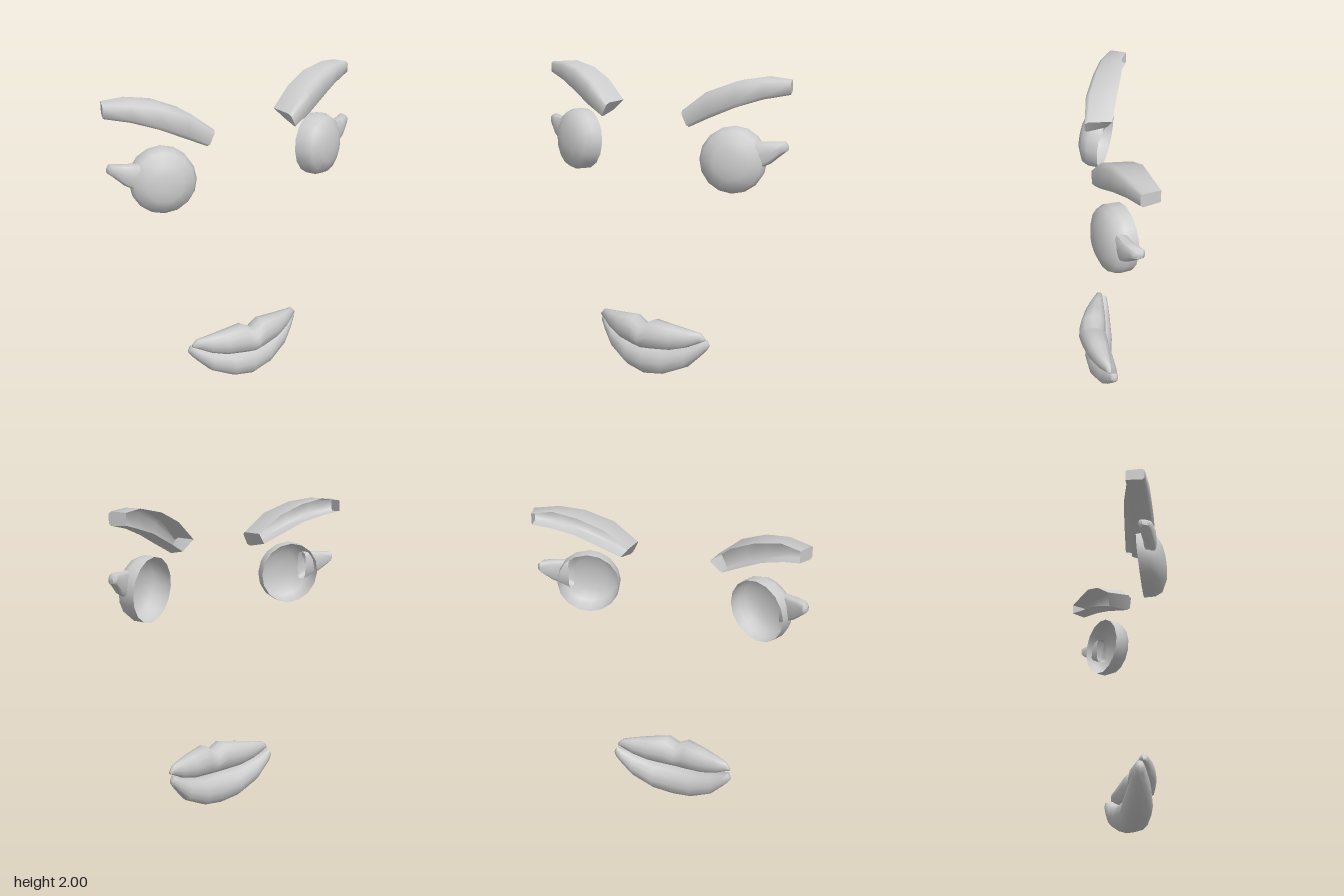
import * as THREE from 'three';
import { toCreasedNormals } from 'three/addons/utils/BufferGeometryUtils.js';

const material = new THREE.MeshStandardMaterial({ color: 0xcccccc, side: THREE.DoubleSide });

// Skin over a row of cross-sections running along +x
function loft(sections, { closed = true, capStart = true, capEnd = true } = {}) {
  const n = sections[0].length;
  const points = sections.flat();
  const index = [];
  for (let i = 0; i < sections.length - 1; i++) {
    for (let j = 0; j < (closed ? n : n - 1); j++) {
      const a = i * n + j, b = i * n + (j + 1) % n;
      index.push(a, b, a + n, b, b + n, a + n);
    }
  }
  const cap = (row, start) => {
    const middle = new THREE.Vector3();
    sections[row].forEach((p) => middle.addScaledVector(p, 1 / n));
    const c = points.push(middle) - 1;
    for (let j = 0; j < n; j++) {
      const a = row * n + j, b = row * n + (j + 1) % n;
      index.push(c, start ? b : a, start ? a : b);
    }
  };
  if (capStart) cap(0, true);
  if (capEnd) cap(sections.length - 1, false);
  const geometry = new THREE.BufferGeometry().setFromPoints(points);
  geometry.setIndex(index);
  geometry.computeVertexNormals();
  return geometry;
}

// Rounded cross-section at x; a lower power gives squarer corners
function ring([x, top, bottom, front, back], power = 0.85) {
  const bend = (v) => Math.sign(v) * Math.pow(Math.abs(v), power);
  return Array.from({ length: 12 }, (_, k) => {
    const angle = (k / 12) * Math.PI * 2;
    const c = k % 6 === 3 ? 0 : Math.cos(angle), s = k % 6 === 0 ? 0 : Math.sin(angle);
    return new THREE.Vector3(x,
      (top + bottom) / 2 + bend(c) * (top - bottom) / 2,
      (front + back) / 2 + bend(s) * (front - back) / 2);
  });
}

function mirrored(geometry) {
  const copy = geometry.clone().scale(-1, 1, 1);
  const a = copy.index.array;
  for (let i = 0; i < a.length; i += 3) [a[i], a[i + 1]] = [a[i + 1], a[i]];
  copy.computeVertexNormals();
  return copy;
}

// Brow: open-backed shell, each row is top front, bottom front, top back, bottom back
function browGeometry() {
  const rows = [
    [[0.27, 1.79, 0.115], [0.32, 1.695, 0.115], [0.265, 1.79, -0.055], [0.33, 1.72, -0.03]],
    [[0.42, 1.91, 0.095], [0.45, 1.76, 0.1], [0.41, 1.905, -0.1], [0.45, 1.78, -0.07]],
    [[0.59, 1.98, 0.035], [0.6, 1.83, 0.045], [0.56, 1.97, -0.14], [0.6, 1.85, -0.11]],
    [[0.74, 2.0, -0.02], [0.74, 1.88, -0.02], [0.72, 2.0, -0.16], [0.74, 1.89, -0.15]],
    [[0.885, 1.99, -0.09], [0.885, 1.91, -0.09], [0.845, 1.985, -0.2], [0.845, 1.915, -0.2]],
  ];
  return loft(rows.map((row) => {
    const [tf, bf, tb, bb] = row.map((p) => new THREE.Vector3(...p));
    return [tb, tf.clone().lerp(tb, 0.13), tf.clone().lerp(bf, 0.16),
      bf.clone().lerp(tf, 0.16), bf.clone().lerp(bb, 0.13), bb];
  }), { closed: false });
}

// Eye: shallow bowl, open at the back and turned outward
function eyeGeometry() {
  const profile = [[0.198, 0], [0.2, 0.07], [0.18, 0.115], [0.11, 0.15], [0.05, 0.16], [0, 0.162]];
  const bowl = new THREE.LatheGeometry(profile.map((p) => new THREE.Vector2(...p)), 16);
  return bowl.rotateX(Math.PI / 2 - 0.08).rotateY(0.36).translate(0.56, 1.51, -0.037);
}

// Eye corner: tapered spur at the outer side of the eye
function cornerGeometry() {
  return loft([
    [0.7, 1.64, 1.455, 0.035, -0.04],
    [0.8, 1.64, 1.51, 0, -0.085],
    [0.86, 1.638, 1.57, -0.04, -0.125],
    [0.88, 1.62, 1.585, -0.06, -0.11],
  ].map((s) => ring(s, 0.55)), { capStart: false });
}

// Lip: half the sections are given, from the middle to the corner
function lipGeometry(half) {
  const other = half.slice(1).reverse().map(([x, ...rest]) => [-x, ...rest]);
  return loft([...other, ...half].map((s) => ring(s)));
}

export function createModel() {
  const group = new THREE.Group();
  const add = (name, geometry, crease = 0.9) => {
    const mesh = new THREE.Mesh(toCreasedNormals(geometry, crease), material);
    mesh.name = name;
    group.add(mesh);
  };

  const sides = { Brow: browGeometry(), Eye: eyeGeometry(), EyeCorner: cornerGeometry() };
  for (const [name, geometry] of Object.entries(sides)) {
    add('left' + name, geometry);
    add('right' + name, mirrored(geometry));
  }

  add('upperLip', lipGeometry([
    [0, 0.36, 0.205, 0.195, 0.015],
    [0.07, 0.405, 0.208, 0.185, 0.005],
    [0.2, 0.385, 0.22, 0.145, 0],
    [0.3, 0.37, 0.25, 0.098, 0],
    [0.38, 0.357, 0.292, 0.05, 0.002],
    [0.41, 0.325, 0.306, 0.03, 0.008],
  ]), 1.2);
  add('lowerLip', lipGeometry([
    [0, 0.207, 0.003, 0.155, -0.03],
    [0.14, 0.212, 0.027, 0.14, -0.045],
    [0.29, 0.25, 0.1, 0.09, -0.045],
    [0.37, 0.285, 0.185, 0.045, -0.04],
    [0.405, 0.305, 0.225, 0.02, -0.035],
    [0.423, 0.28, 0.25, 0.005, -0.02],
  ]), 1.2);
  return group;
}
